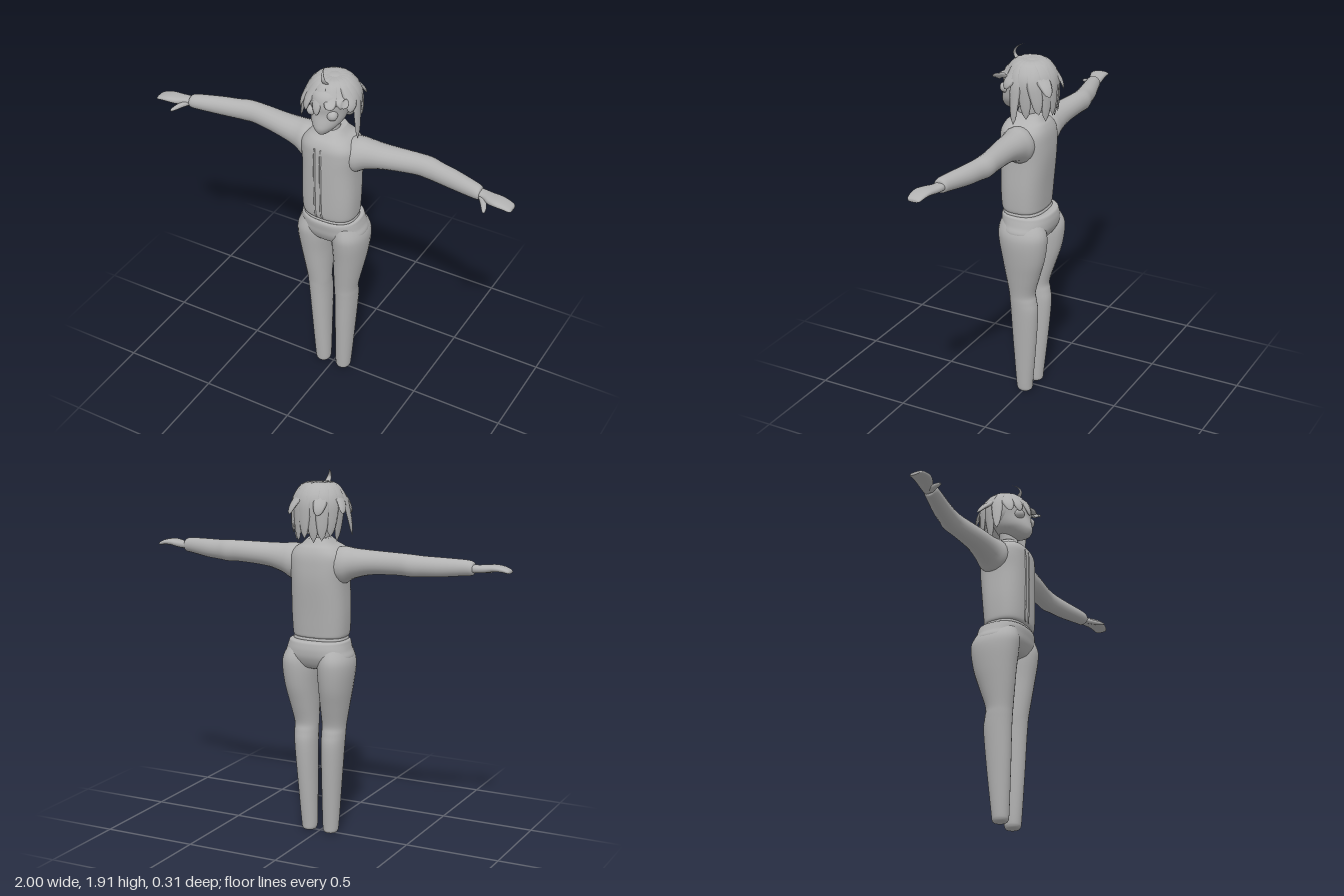
import * as THREE from 'three';

const V = (x, y, z) => new THREE.Vector3(x, y, z);

// Smoothly resample a table of cross-section rows
function smoothRows(rows, steps = 5) {
  const out = [];
  const last = rows.length - 1;
  for (let i = 0; i < last; i++) {
    for (let s = 0; s < steps; s++) {
      const t = s / steps;
      out.push(rows[i].map((b, k) => {
        const a = rows[Math.max(i - 1, 0)][k], c = rows[i + 1][k], d = rows[Math.min(i + 2, last)][k];
        return b + 0.5 * t * (c - a + t * (2 * a - 5 * b + 4 * c - d + t * (3 * (b - c) + d - a)));
      }));
    }
  }
  out.push(rows[last]);
  return out;
}

// Skin a list of rings {c, u, v}; u x v points along the direction of travel
function skin(rings, seg = 24, power = 2) {
  const pos = [], idx = [];
  const bend = (k) => Math.sign(k) * Math.abs(k) ** (2 / power);
  for (const { c, u, v } of rings) {
    for (let j = 0; j < seg; j++) {
      const a = (j / seg) * Math.PI * 2;
      const p = c.clone().addScaledVector(u, bend(Math.cos(a))).addScaledVector(v, bend(Math.sin(a)));
      pos.push(p.x, p.y, p.z);
    }
  }
  for (let i = 0; i < rings.length - 1; i++) {
    for (let j = 0; j < seg; j++) {
      const a = i * seg + j, b = i * seg + (j + 1) % seg;
      idx.push(a, b, b + seg, a, b + seg, a + seg);
    }
  }
  // end caps
  const end = (rings.length - 1) * seg, n = rings.length * seg;
  const c0 = rings[0].c, c1 = rings[rings.length - 1].c;
  pos.push(c0.x, c0.y, c0.z, c1.x, c1.y, c1.z);
  for (let j = 0; j < seg; j++) {
    const k = (j + 1) % seg;
    idx.push(n, k, j, n + 1, end + j, end + k);
  }
  const g = new THREE.BufferGeometry();
  g.setAttribute('position', new THREE.Float32BufferAttribute(pos, 3));
  g.setIndex(idx);
  g.computeVertexNormals();
  return g;
}

// Upright loft, rows: [y, centreX, half width, back z, front z]
const upright = (rows, power, seg) => skin(smoothRows(rows).map(([y, x, w, zb, zf]) => ({
  c: V(x, y, (zb + zf) / 2), u: V(0, 0, (zf - zb) / 2), v: V(w, 0, 0),
})), seg, power);

// Sideways loft, rows: [x, centreY, centreZ, half height, half depth]
const sideways = (rows, power) => skin(smoothRows(rows).map(([x, y, z, h, d]) => ({
  c: V(x, y, z), u: V(0, h, 0), v: V(0, 0, d),
})), 20, power);

// Flattened tapering strand along a curve, facing away from a centre point
function strand(points, width, thick, centre, taper, seg = 8) {
  const curve = new THREE.CatmullRomCurve3(points);
  const rings = [];
  for (let i = 0; i <= 14; i++) {
    const t = i / 14, c = curve.getPoint(t), T = curve.getTangent(t);
    const N = c.clone().sub(centre);
    N.addScaledVector(T, -N.dot(T)).normalize();
    const S = T.clone().cross(N), k = taper(t);
    rings.push({ c, u: N.multiplyScalar(thick * k), v: S.multiplyScalar(width * k) });
  }
  return skin(rings, seg);
}

function mirrored(geo) {
  const g = geo.clone().scale(-1, 1, 1);
  const a = g.index.array;
  for (let i = 0; i < a.length; i += 3) [a[i], a[i + 1]] = [a[i + 1], a[i]];
  g.computeVertexNormals();
  return g;
}

export function createModel() {
  const model = new THREE.Group();
  const grey = new THREE.MeshStandardMaterial({ color: 0xb2b2b2 });
  grey.name = 'plain grey';
  const add = (name, geo) => {
    const m = new THREE.Mesh(geo, grey);
    m.name = name;
    model.add(m);
  };
  const pair = (name, geo) => {
    add('left' + name, geo);
    add('right' + name, mirrored(geo));
  };

  // Trousers
  pair('Leg', upright([
    [0.002, 0.062, 0.025, -0.025, 0.025], [0.012, 0.062, 0.037, -0.04, 0.04], [0.06, 0.063, 0.043, -0.045, 0.046],
    [0.3, 0.071, 0.052, -0.068, 0.06], [0.48, 0.077, 0.059, -0.08, 0.068], [0.55, 0.079, 0.061, -0.072, 0.072],
    [0.6, 0.08, 0.063, -0.066, 0.076], [0.7, 0.088, 0.073, -0.095, 0.09], [0.8, 0.096, 0.083, -0.125, 0.104],
    [0.9, 0.1, 0.091, -0.141, 0.12], [0.96, 0.1, 0.085, -0.138, 0.124], [1.02, 0.09, 0.065, -0.11, 0.11]], 2.1));
  add('hips', upright([
    [0.895, 0, 0.06, -0.06, 0.06], [0.915, 0, 0.14, -0.105, 0.095], [0.96, 0, 0.182, -0.132, 0.12],
    [1.0, 0, 0.17, -0.138, 0.128], [1.03, 0, 0.161, -0.134, 0.132], [1.045, 0, 0.156, -0.128, 0.128],
    [1.05, 0, 0.145, -0.115, 0.118]], 2.4, 40));

  // Jacket
  add('jacketHem', upright([[1.04, 0, 0.135, -0.085, 0.11], [1.052, 0, 0.142, -0.095, 0.122],
    [1.064, 0, 0.138, -0.09, 0.118]], 2.6, 40));
  add('jacketBody', upright([
    [1.06, 0, 0.13, -0.08, 0.11], [1.068, 0, 0.142, -0.092, 0.124], [1.1, 0, 0.147, -0.096, 0.131],
    [1.2, 0, 0.15, -0.105, 0.135], [1.35, 0, 0.147, -0.12, 0.137], [1.44, 0, 0.153, -0.12, 0.136],
    [1.49, 0, 0.147, -0.114, 0.132], [1.525, 0, 0.118, -0.1, 0.115], [1.545, 0, 0.085, -0.085, 0.09],
    [1.572, 0, 0.058, -0.07, 0.065]], 2.6, 48));
  for (const [name, x] of [['placketEdge', -0.034], ['zip', 0]]) {
    add(name, upright([[1.075, x + 0.008, 0.006, 0.11, 0.13], [1.1, x, 0.006, 0.12, 0.135],
      [1.2, x, 0.006, 0.12, 0.139], [1.35, x, 0.006, 0.12, 0.141], [1.44, x, 0.006, 0.12, 0.14],
      [1.49, x, 0.005, 0.11, 0.135]], 2, 8));
  }
  pair('Sleeve', sideways([
    [0.07, 1.44, 0, 0.08, 0.08], [0.14, 1.44, -0.002, 0.095, 0.088], [0.2, 1.453, -0.008, 0.077, 0.075],
    [0.3, 1.465, -0.012, 0.062, 0.064], [0.45, 1.471, -0.027, 0.056, 0.053], [0.52, 1.469, -0.028, 0.056, 0.053],
    [0.58, 1.468, -0.016, 0.052, 0.049], [0.66, 1.468, 0.0, 0.049, 0.047], [0.78, 1.47, 0.03, 0.04, 0.04],
    [0.815, 1.468, 0.036, 0.034, 0.034], [0.822, 1.468, 0.037, 0.02, 0.022]], 2));

  // Hands
  pair('Hand', sideways([
    [0.79, 1.468, 0.033, 0.02, 0.027], [0.84, 1.468, 0.04, 0.019, 0.031], [0.88, 1.47, 0.055, 0.019, 0.04],
    [0.92, 1.474, 0.064, 0.017, 0.044], [0.96, 1.471, 0.067, 0.014, 0.041], [0.99, 1.463, 0.068, 0.011, 0.035],
    [0.999, 1.459, 0.068, 0.006, 0.026]], 2.4));
  pair('Thumb', strand([V(0.825, 1.463, 0.045), V(0.855, 1.455, 0.085), V(0.872, 1.448, 0.115), V(0.884, 1.442, 0.143)],
    0.017, 0.014, V(0.85, 1.2, 0.08), (t) => Math.sqrt(1 - t ** 4) * (1 - 0.3 * t) + 0.02));

  // Neck and head
  add('neck', upright([[1.49, 0, 0.04, -0.03, 0.1], [1.54, 0, 0.04, -0.03, 0.08], [1.58, 0, 0.041, -0.035, 0.065],
    [1.65, 0, 0.045, -0.04, 0.06]], 2));
  add('face', upright([
    [1.581, 0, 0.012, 0.095, 0.126], [1.594, 0, 0.034, 0.035, 0.142], [1.62, 0, 0.06, -0.02, 0.153],
    [1.65, 0, 0.081, -0.06, 0.15], [1.7, 0, 0.094, -0.09, 0.14], [1.75, 0, 0.1, -0.1, 0.142],
    [1.8, 0, 0.092, -0.095, 0.125], [1.84, 0, 0.05, -0.06, 0.07]], 2, 32));
  pair('Eye', new THREE.SphereGeometry(0.027, 20, 14).translate(0.056, 1.7, 0.112));

  // Hair mass
  add('hairCap', new THREE.SphereGeometry(1, 32, 20).scale(0.117, 0.112, 0.115).translate(0, 1.743, -0.012));
  add('backHair', upright([[1.6, 0, 0.06, -0.105, -0.06], [1.65, 0, 0.09, -0.118, -0.03],
    [1.72, 0, 0.112, -0.124, 0.0], [1.78, 0, 0.1, -0.115, 0.0]], 2.2));

  // Hair locks: [heading in degrees, tip x, y, z, half width]
  const locks = [
    [-35, -0.085, 1.7, 0.13, 0.036], [-8, -0.012, 1.7, 0.15, 0.032], [22, 0.06, 1.75, 0.152, 0.036],
    [45, 0.152, 1.79, 0.13, 0.036], [68, 0.132, 1.72, 0.075, 0.04], [84, 0.146, 1.545, 0.02, 0.036],
    [-58, -0.13, 1.69, 0.1, 0.038], [-80, -0.163, 1.588, 0.035, 0.038], [-102, -0.166, 1.71, -0.085, 0.04],
    [104, 0.112, 1.57, -0.035, 0.042], [124, 0.1, 1.6, -0.1, 0.044], [145, 0.095, 1.7, -0.157, 0.042],
    [152, 0.062, 1.56, -0.118, 0.044], [172, 0.02, 1.58, -0.135, 0.044], [190, -0.025, 1.56, -0.122, 0.044],
    [208, -0.06, 1.7, -0.155, 0.04], [212, -0.068, 1.57, -0.118, 0.044], [234, -0.1, 1.59, -0.085, 0.044],
    [256, -0.108, 1.56, -0.03, 0.042],
  ];
  const headCentre = V(0, 1.71, 0);
  locks.forEach(([deg, x, y, z, w], i) => {
    const a = THREE.MathUtils.degToRad(deg), s = Math.sin(a), c = Math.cos(a);
    const at = (r, h) => V(r * s, h, r * c - 0.003);
    const tip = V(x, y, z), shoulder = at(0.126, 1.775);
    const mid = shoulder.clone().lerp(tip, 0.5).add(V(0.006 * s, 0, 0.006 * c));
    add('hairLock' + (i + 1), strand([at(0.012, 1.847), at(0.075, 1.838), shoulder, mid, tip], w, 0.012, headCentre,
      (t) => Math.min(0.35 + 2.2 * t, 1) * Math.sqrt(1 - t ** 2.5) + 0.01));
  });

  // Small upright tuft on the crown
  add('crownTuft', strand([V(0, 1.835, 0.07), V(-0.006, 1.87, 0.092), V(-0.016, 1.897, 0.078), V(-0.026, 1.913, 0.046)],
    0.018, 0.006, V(0, 1.86, 0), (t) => 1.01 - t));
  return model;
}
